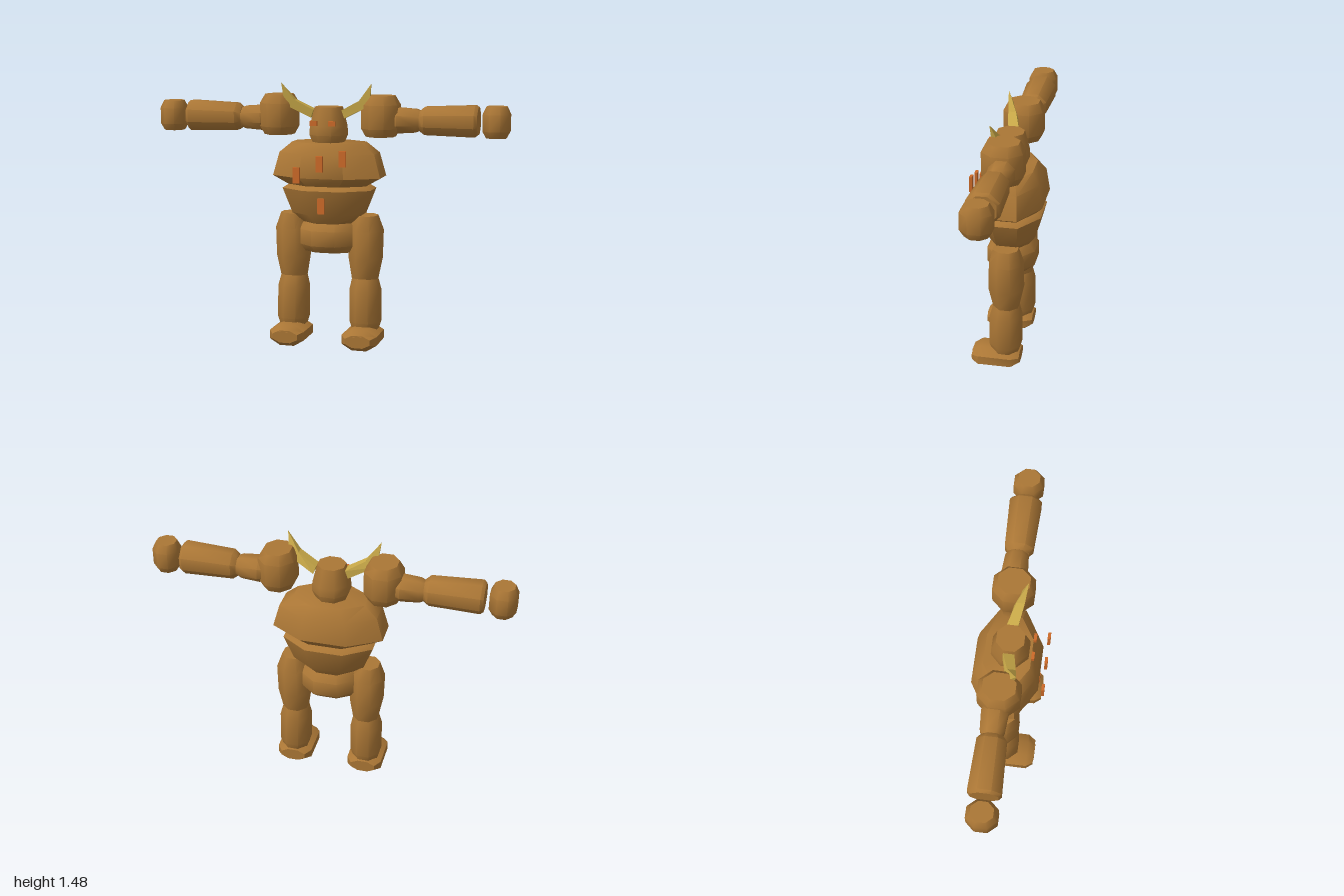
import * as THREE from 'three';
import { toCreasedNormals } from 'three/addons/utils/BufferGeometryUtils.js';

// Closed loft along an axis. Section: [position, halfU, halfV, centreU, centreV, tilt]
// (u, v) is (z, x) for axis y, (y, z) for axis x and (x, y) for axis z.
function loft(axis, sections, { n = 8, side = 1, crease = 0.85 } = {}) {
  const place = (w, u, v) =>
    axis === 'y' ? [v, w, u] : axis === 'x' ? [w * side, u, v] : [u, v, w];
  const rows = axis === 'x' && side < 0 ? [...sections].reverse() : sections;
  const pos = [];
  const idx = [];
  const k = 1 / Math.cos(Math.PI / n);
  for (const [w, hu, hv, cu = 0, cv = 0, tilt = 0] of rows) {
    for (let i = 0; i < n; i++) {
      const a = ((i + 0.5) / n) * Math.PI * 2;
      const du = hu * k * Math.cos(a);
      pos.push(...place(w - tilt * du, cu + du, cv + hv * k * Math.sin(a)));
    }
  }
  for (let r = 0; r < rows.length - 1; r++) {
    for (let i = 0; i < n; i++) {
      const a = r * n + i;
      const b = r * n + ((i + 1) % n);
      idx.push(a, b, b + n, a, b + n, a + n);
    }
  }
  const top = (rows.length - 1) * n;
  for (let i = 1; i < n - 1; i++) {
    idx.push(0, i + 1, i, top, top + i, top + i + 1);
  }
  const g = new THREE.BufferGeometry();
  g.setAttribute('position', new THREE.Float32BufferAttribute(pos, 3));
  g.setIndex(idx);
  return toCreasedNormals(g, crease);
}

export function createModel() {
  const material = (name, color) => {
    const m = new THREE.MeshStandardMaterial({ color });
    m.name = name;
    return m;
  };
  const hide = material('brown hide', 0xaa7635);
  const ember = material('orange', 0xcc6a28);
  const horn = material('horn yellow', 0xc8a848);

  const model = new THREE.Group();
  model.name = 'hornedGiant';
  const add = (name, geometry, mat = hide) => {
    const mesh = new THREE.Mesh(geometry, mat);
    mesh.name = name;
    model.add(mesh);
    return mesh;
  };
  const plate = (name, x, y, z, w, h, d) =>
    add(name, new THREE.BoxGeometry(w, h, d), ember).position.set(x, y, z);

  // Head and torso
  add('head', loft('y', [
    [1.14, 0.08, 0.08], [1.19, 0.1, 0.1], [1.24, 0.098, 0.097], [1.345, 0.073, 0.073],
  ]));
  add('chest', loft('y', [
    [0.91, 0.14, 0.22, -0.015], [0.96, 0.182, 0.308, -0.017],
    [1.09, 0.163, 0.272, -0.017], [1.15, 0.125, 0.2, -0.012],
  ]));
  add('abdomen', loft('y', [
    [0.695, 0.1, 0.13, -0.013], [0.75, 0.135, 0.2, -0.015],
    [0.89, 0.173, 0.253, -0.015], [0.912, 0.145, 0.22, -0.015],
  ]));
  add('pelvis', loft('y', [
    [0.533, 0.09, 0.135, -0.015], [0.575, 0.135, 0.163, -0.015],
    [0.66, 0.135, 0.163, -0.015], [0.705, 0.1, 0.135, -0.015],
  ]));

  // Glowing marks floating in front of the body
  for (const [x, y] of [[-0.13, 0.98], [0, 1.045], [0.13, 1.077]]) {
    plate('chestMark', x, y, 0.192, 0.038, 0.088, 0.016);
  }
  plate('bellyMark', 0, 0.808, 0.157, 0.038, 0.086, 0.016);

  for (const side of [1, -1]) {
    const label = side > 0 ? 'left' : 'right';
    const c = (x) => x * side;
    plate(label + 'Eye', c(0.052), 1.26, 0.124, 0.04, 0.028, 0.016);

    add(label + 'Horn', loft('x', [
      [0.088, 0.022, 0.03, 1.305, 0, 0.35],
      [0.212, 0.014, 0.022, 1.368, 0.028, 2],
      [0.256, 0.001, 0.001, 1.475, 0.06],
    ], { n: 4, side, crease: 0.2 }), horn);

    // Arms, held straight out
    add(label + 'Shoulder', loft('y', [
      [1.185, 0.085, 0.078, -0.02, c(0.292)], [1.23, 0.111, 0.101, -0.02, c(0.292)],
      [1.36, 0.111, 0.101, -0.02, c(0.292)], [1.41, 0.085, 0.073, -0.02, c(0.292)],
    ]));
    add(label + 'UpperArm', loft('x', [
      [0.34, 0.055, 0.055, 1.275, -0.03], [0.39, 0.07, 0.07, 1.275, -0.03],
      [0.49, 0.063, 0.063, 1.275, -0.03], [0.52, 0.05, 0.05, 1.275, -0.03],
    ], { side }));
    add(label + 'Forearm', loft('x', [
      [0.512, 0.055, 0.055, 1.275, -0.025], [0.54, 0.076, 0.077, 1.277, -0.025],
      [0.815, 0.085, 0.087, 1.28, -0.024], [0.832, 0.072, 0.073, 1.28, -0.024],
    ], { side }));
    add(label + 'Fist', loft('y', [
      [1.193, 0.058, 0.053, -0.02, c(0.928)], [1.23, 0.081, 0.072, -0.02, c(0.928)],
      [1.32, 0.081, 0.072, -0.02, c(0.928)], [1.363, 0.058, 0.053, -0.02, c(0.928)],
    ]));

    // Legs
    add(label + 'Thigh', loft('y', [
      [0.385, 0.07, 0.07, -0.018, c(0.208)], [0.5, 0.094, 0.089, -0.018, c(0.211)],
      [0.66, 0.09, 0.092, -0.018, c(0.213)], [0.745, 0.068, 0.06, -0.015, c(0.216)],
    ]));
    add(label + 'Shin', loft('y', [
      [0.09, 0.07, 0.07, -0.015, c(0.212)], [0.14, 0.088, 0.084, -0.015, c(0.212)],
      [0.32, 0.088, 0.084, -0.015, c(0.21)], [0.39, 0.07, 0.068, -0.017, c(0.208)],
    ]));
    add(label + 'Foot', loft('z', [
      [-0.1, 0.07, 0.035, c(0.21), 0.065], [-0.055, 0.1, 0.058, c(0.21), 0.06],
      [0.13, 0.1, 0.06, c(0.21), 0.06], [0.17, 0.072, 0.035, c(0.21), 0.06],
    ]));
    // Toe cap
    const toe = add(label + 'Toe', new THREE.BoxGeometry(0.085, 0.056, 0.04));
    toe.position.set(c(0.208), 0.06, 0.153);
  }
  return model;
}
